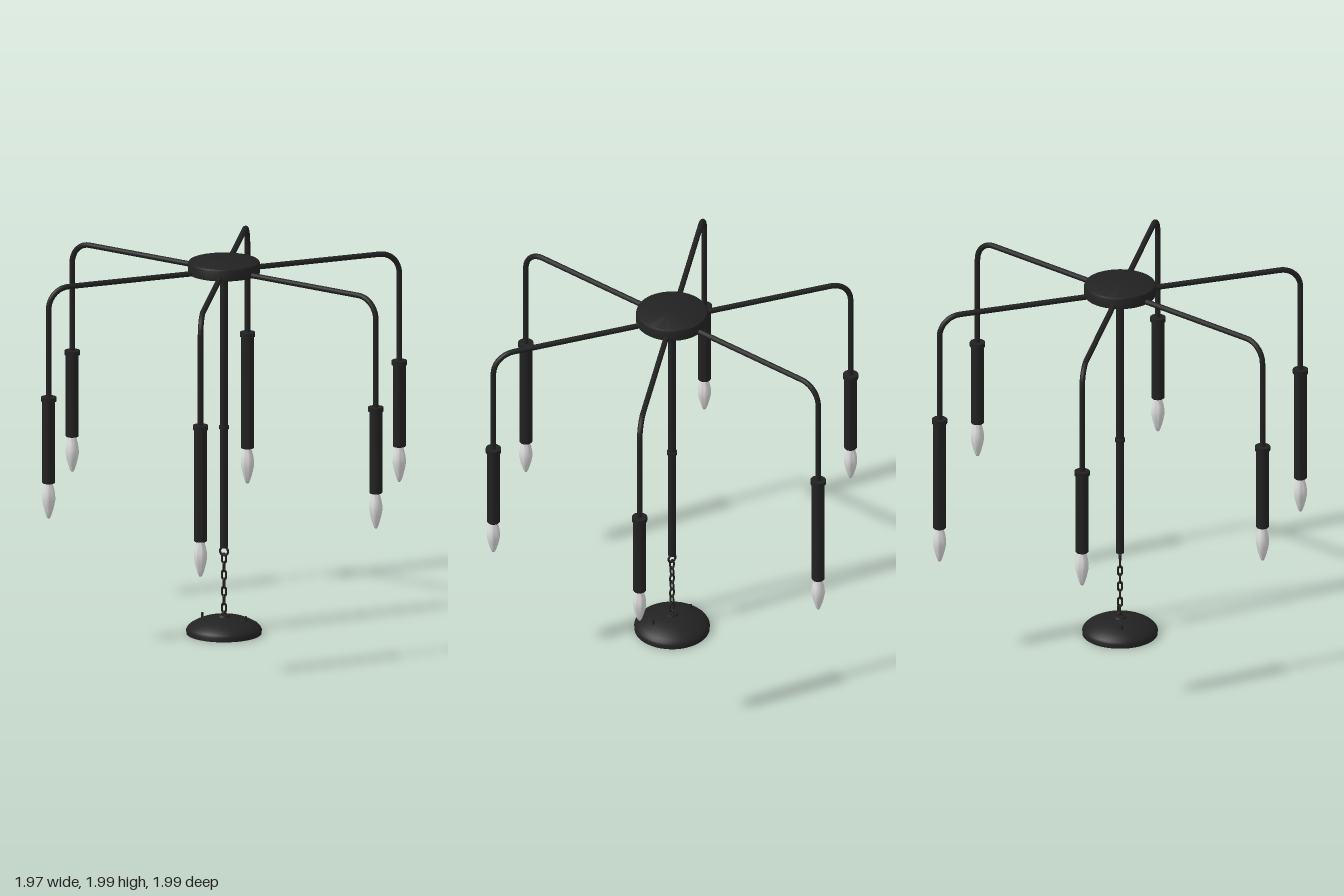
import * as THREE from 'three';
import { toCreasedNormals } from 'three/addons/utils/BufferGeometryUtils.js';

const black = new THREE.MeshStandardMaterial({ color: 0x222222 });
black.name = 'matte black metal';
const glass = new THREE.MeshStandardMaterial({ color: 0xdcdcdc });
glass.name = 'frosted bulb glass';

function add(parent, name, geometry, material, x = 0, y = 0, z = 0) {
  const mesh = new THREE.Mesh(geometry, material);
  mesh.name = name;
  mesh.position.set(x, y, z);
  parent.add(mesh);
  return mesh;
}

// Turned solid; profile pairs [radius, y] run from bottom to top
function turned(profile, segments = 32, crease = 0.6) {
  const points = profile.map(([r, y]) => new THREE.Vector2(r, y));
  return toCreasedNormals(new THREE.LatheGeometry(points, segments), crease);
}

const ARM_Y = 1.938, REACH = 0.985, BEND = 0.11, COLLAR_TOP = 1.36;

// Arm that runs outward, bends down and ends in the candle collar
function armGeometry() {
  const path = new THREE.CurvePath();
  const start = new THREE.Vector3(0.05, ARM_Y, 0);
  const bendStart = new THREE.Vector3(REACH - BEND, ARM_Y, 0);
  path.add(new THREE.LineCurve3(start, bendStart));
  let last = bendStart;
  for (let i = 1; i <= 10; i++) {
    const a = (i / 10) * Math.PI / 2;
    const p = new THREE.Vector3(REACH - BEND + BEND * Math.sin(a), ARM_Y - BEND + BEND * Math.cos(a), 0);
    path.add(new THREE.LineCurve3(last, p));
    last = p;
  }
  path.add(new THREE.LineCurve3(last, new THREE.Vector3(REACH, COLLAR_TOP - 0.02, 0)));
  return new THREE.TubeGeometry(path, 120, 0.0145, 12);
}

function createArm(geometry, sleeveBottom) {
  const arm = new THREE.Group();
  add(arm, 'armTube', geometry, black);
  // Candle sleeve with its wider collar
  add(arm, 'candleSleeve', turned([
    [0, sleeveBottom], [0.031, sleeveBottom], [0.034, sleeveBottom + 0.004],
    [0.034, 1.337], [0.04, 1.337], [0.04, COLLAR_TOP], [0, COLLAR_TOP],
  ], 24), black, REACH);
  // Flame-shaped bulb pointing down
  const bulb = [
    [0, -0.19], [0.007, -0.187], [0.013, -0.175], [0.021, -0.15], [0.029, -0.12],
    [0.0345, -0.09], [0.034, -0.065], [0.029, -0.035], [0.022, -0.01], [0.02, 0.005],
  ];
  add(arm, 'bulb', turned(bulb, 24, 1.2), glass, REACH, sleeveBottom);
  return arm;
}

// Oval chain link in the xy plane
function linkGeometry() {
  const points = [];
  for (let i = 0; i < 16; i++) {
    const a = (i / 16) * Math.PI * 2;
    points.push(new THREE.Vector3(0.0115 * Math.cos(a), 0.016 * Math.sin(a) + 0.01 * Math.sign(Math.round(Math.sin(a) * 100)), 0));
  }
  return new THREE.TubeGeometry(new THREE.CatmullRomCurve3(points, true), 28, 0.0052, 8, true);
}

export function createModel() {
  const model = new THREE.Group();
  model.name = 'chandelier';

  // Hub disc and the boss beneath it
  add(model, 'hub', turned([
    [0, 1.925], [0.183, 1.925], [0.186, 1.928], [0.186, 1.978], [0.182, 1.986], [0.176, 1.989], [0, 1.989],
  ], 48), black);
  add(model, 'hubBoss', turned([
    [0, 1.9], [0.032, 1.9], [0.042, 1.91], [0.045, 1.93], [0, 1.93],
  ]), black);

  // Six arms; one opposite pair carries longer candles
  const tube = armGeometry();
  for (let i = 0; i < 6; i++) {
    const arm = createArm(tube, i % 3 === 1 ? 0.74 : 0.9);
    arm.name = `arm${i + 1}`;
    arm.rotation.y = -THREE.MathUtils.degToRad(16.2 + 60 * i);
    model.add(arm);
  }

  // Central stem with its coupling
  add(model, 'stem', new THREE.CylinderGeometry(0.02, 0.02, 1.46, 20), black, 0, 1.188, 0);
  add(model, 'stemCoupling', new THREE.CylinderGeometry(0.027, 0.027, 0.016, 20), black, 0, 1.1, 0);

  // Ring and alternating chain links
  add(model, 'stemRing', new THREE.TorusGeometry(0.022, 0.006, 10, 28), black, 0, 0.438, 0);
  const link = linkGeometry();
  for (let i = 0; i < 8; i++) {
    const mesh = add(model, `chainLink${i + 1}`, link, black, 0, 0.4 - i * 0.0442, 0);
    mesh.rotation.y = i % 2 ? 0 : Math.PI / 2;
    if (i % 2 === 0) mesh.rotation.y = 0;
    else mesh.rotation.y = Math.PI / 2;
  }

  // Domed canopy, its centre fitting and two screws
  add(model, 'canopy', turned([
    [0, 0], [0.195, 0], [0.196, 0.022], [0.19, 0.034], [0.176, 0.047], [0.15, 0.062],
    [0.115, 0.077], [0.075, 0.086], [0.04, 0.09], [0, 0.091],
  ], 48), black);
  add(model, 'canopyFitting', new THREE.CylinderGeometry(0.03, 0.036, 0.014, 24), black, 0, 0.093, 0);
  for (const side of [-1, 1]) {
    add(model, side < 0 ? 'rightScrew' : 'leftScrew', new THREE.CylinderGeometry(0.006, 0.006, 0.028, 10), black, side * 0.12, 0.086, 0);
  }
  return model;
}
